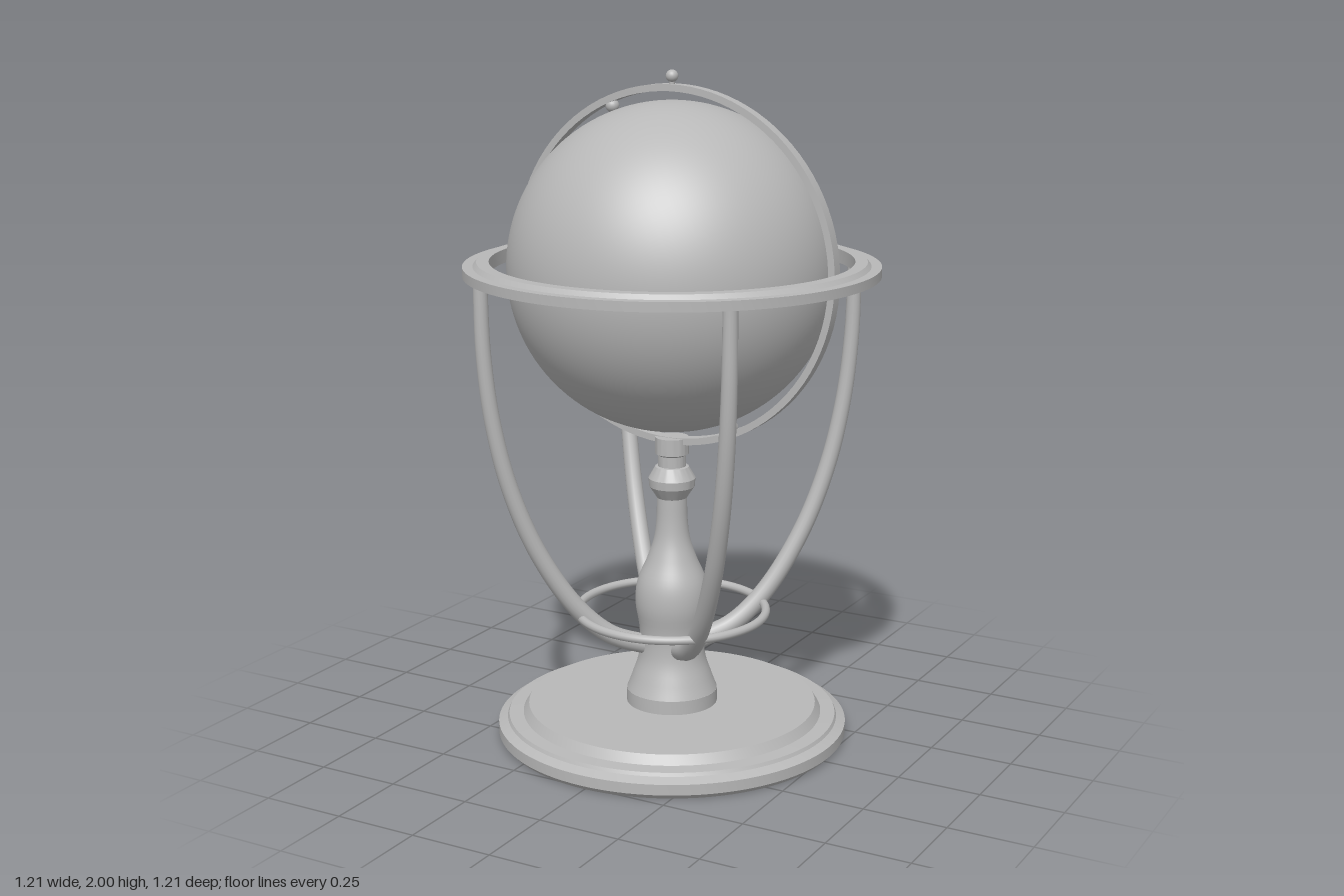
import * as THREE from 'three';
import { toCreasedNormals } from 'three/addons/utils/BufferGeometryUtils.js';

const CENTRE = 1.433; // height of the globe's centre

export function createModel() {
  const model = new THREE.Group();
  model.name = 'globeOnStand';
  const grey = new THREE.MeshStandardMaterial({ color: 0xb8b8b8 });
  grey.name = 'plain grey';

  const add = (name, geometry, x = 0, y = 0, z = 0) => {
    const mesh = new THREE.Mesh(geometry, grey);
    mesh.name = name;
    mesh.position.set(x, y, z);
    model.add(mesh);
    return mesh;
  };
  // Turned part from [radius, height] pairs, listed bottom to top on the outside
  const turned = (points, segments = 96) => toCreasedNormals(
    new THREE.LatheGeometry(points.map(([r, y]) => new THREE.Vector2(r, y)), segments), 0.45);

  // Stepped round base
  add('base', turned([[0, 0], [0.513, 0], [0.527, 0.015], [0.527, 0.047], [0.5, 0.06],
    [0.495, 0.07], [0.452, 0.073], [0.435, 0.1], [0, 0.1]]));

  // Turned column: foot, smooth vase body, collar and top socket
  add('columnFoot', turned([[0, 0.09], [0.137, 0.09], [0.137, 0.142], [0.125, 0.142], [0, 0.142]], 48));
  const body = new THREE.SplineCurve([[0.137, 0.14], [0.12, 0.185], [0.1, 0.25], [0.098, 0.33],
    [0.11, 0.41], [0.104, 0.48], [0.075, 0.55], [0.055, 0.61], [0.047, 0.67], [0.045, 0.74]]
    .map(([r, y]) => new THREE.Vector2(r, y))).getPoints(40);
  add('columnBody', new THREE.LatheGeometry(body, 48));
  add('columnCollar', turned([[0.045, 0.74], [0.068, 0.775], [0.07, 0.8], [0.05, 0.835], [0.042, 0.837],
    [0.042, 0.87], [0.05, 0.875], [0.05, 0.925], [0, 0.925]], 48));

  // Four curved legs on the diagonals, thicker towards the column
  const path = new THREE.CatmullRomCurve3([[0.566, 1.425], [0.56, 1.2], [0.537, 1.0], [0.49, 0.8],
    [0.41, 0.6], [0.295, 0.42], [0.19, 0.325], [0.07, 0.28]].map(([r, y]) => new THREE.Vector3(r, y, 0)));
  const legGeometry = new THREE.TubeGeometry(path, 64, 0.021, 16);
  const { position, normal, uv } = legGeometry.attributes;
  for (let i = 0; i < position.count; i++) {
    const grow = 0.009 * uv.getX(i);
    position.setXYZ(i, position.getX(i) + normal.getX(i) * grow,
      position.getY(i) + normal.getY(i) * grow, position.getZ(i) + normal.getZ(i) * grow);
  }
  for (let i = 0; i < 4; i++) {
    add('leg' + (i + 1), legGeometry).rotation.y = Math.PI / 4 + i * Math.PI / 2;
  }

  // Thin stretcher ring tying the legs together
  add('stretcherRing', new THREE.TorusGeometry(0.283, 0.013, 12, 96), 0, 0.388, 0).rotation.x = Math.PI / 2;

  // Flat horizon ring with a raised inner step
  add('horizonRing', turned([[0.53, 1.415], [0.607, 1.415], [0.607, 1.443], [0.577, 1.443],
    [0.566, 1.456], [0.53, 1.456], [0.53, 1.415]]));

  // Upright meridian band around the globe
  add('meridianRing', turned([[0.507, -0.018], [0.527, -0.018], [0.527, 0.018], [0.507, 0.018],
    [0.507, -0.018]]), 0, CENTRE, 0).rotation.x = Math.PI / 2;

  // Globe on a tilted axis, held by two pivots
  const tilt = THREE.MathUtils.degToRad(23.4);
  add('globe', new THREE.SphereGeometry(0.48, 96, 64), 0, CENTRE, 0).rotation.z = tilt;
  for (const side of [1, -1]) {
    add(side > 0 ? 'upperPivot' : 'lowerPivot', new THREE.SphereGeometry(0.02, 20, 14),
      -side * Math.sin(tilt) * 0.497, CENTRE + side * Math.cos(tilt) * 0.497, 0);
  }

  // Small ball on top of the band
  add('finial', new THREE.SphereGeometry(0.018, 24, 16), 0, 1.982, 0);
  add('finialStem', new THREE.CylinderGeometry(0.008, 0.008, 0.025, 16), 0, 1.962, 0);

  return model;
}
